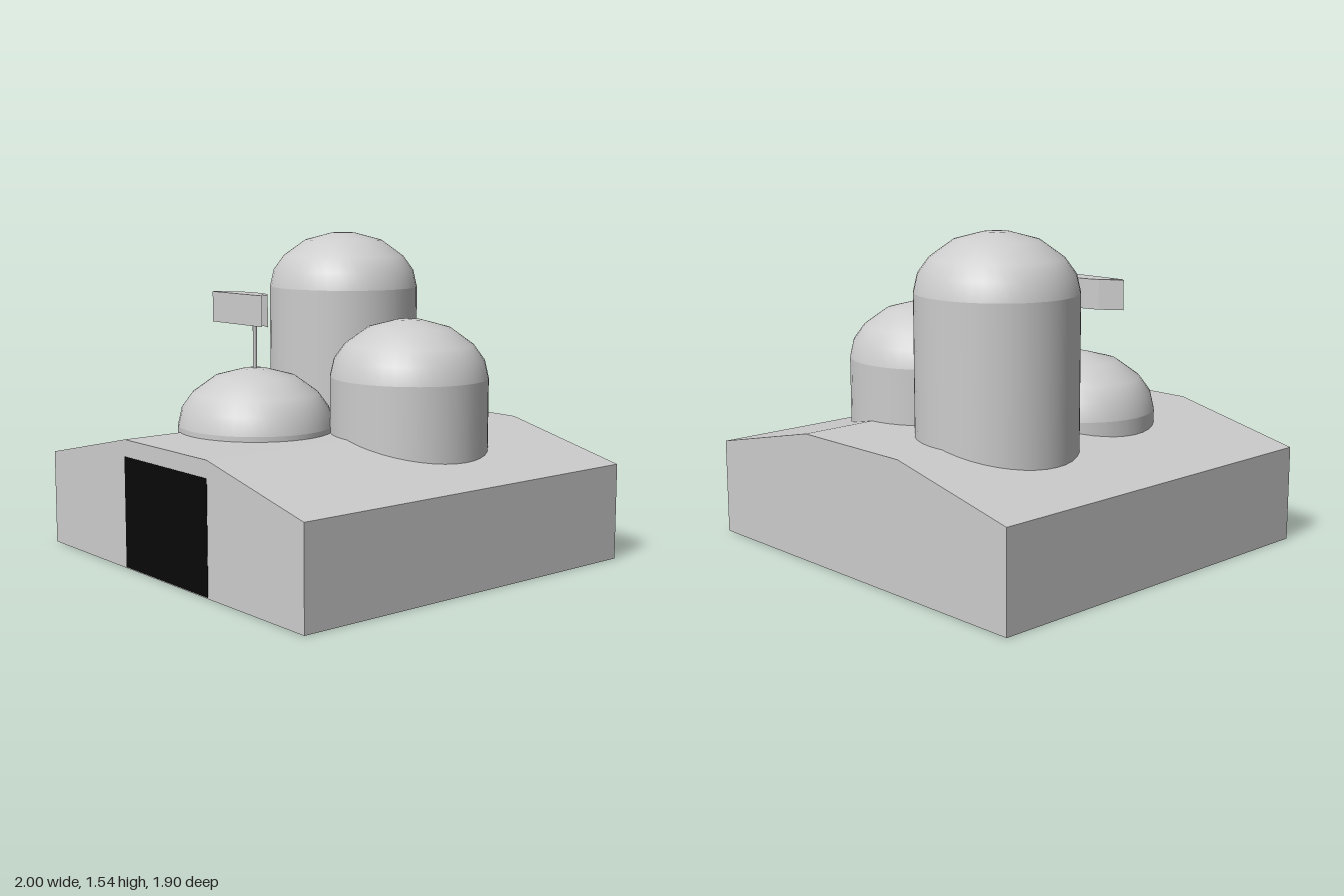
import * as THREE from 'three';

export function createModel() {
  const model = new THREE.Group();
  const grey = new THREE.MeshStandardMaterial({ color: 0xcccccc });
  grey.name = 'pale grey';
  const black = new THREE.MeshStandardMaterial({ color: 0x080808 });
  black.name = 'black';

  function add(name, geometry, material, x = 0, y = 0, z = 0) {
    const mesh = new THREE.Mesh(geometry, material);
    mesh.name = name;
    mesh.position.set(x, y, z);
    model.add(mesh);
    return mesh;
  }
  const shapeOf = (points) => new THREE.Shape(points.map(([x, y]) => new THREE.Vector2(x, y)));

  // Base block with a gently sloping roof
  const baseShape = shapeOf([[-1, 0], [1, 0], [1, 0.46], [0.33, 0.61], [-0.33, 0.61], [-1, 0.46]]);
  add('base', new THREE.ExtrudeGeometry(baseShape, { depth: 1.9, bevelEnabled: false }), grey, 0, 0, -0.95);

  // Doorway panel
  add('doorway', new THREE.BoxGeometry(0.665, 0.525, 0.004), black, 0, 0.2675, 0.95);

  // Domed towers: slightly oval walls with a flattened cap
  const cap = [[0.386, 0], [0.366, 0.085], [0.313, 0.156], [0.2, 0.235], [0.06, 0.271], [0, 0.273]];
  function addTower(name, x, z, top) {
    const floor = 0.3;
    const shoulder = top - 0.273;
    const wall = new THREE.CylinderGeometry(0.386, 0.386, shoulder - floor, 40, 1, true);
    wall.translate(0, (shoulder + floor) / 2, 0);
    const dome = new THREE.LatheGeometry(cap.map(([r, y]) => new THREE.Vector2(r, y + shoulder)), 40);
    for (const [part, geometry] of [['Wall', wall], ['Dome', dome]]) {
      add(name + part, geometry, grey, x, 0, z).scale.z = 0.948;
    }
  }
  addTower('tallTower', -0.295, -0.335, 1.54);
  addTower('middleTower', 0.352, -0.198, 1.15);
  addTower('lowTower', -0.187, 0.305, 0.907);

  // Antenna post
  add('antennaPost', new THREE.CylinderGeometry(0.01, 0.01, 0.35, 8), grey, -0.187, 1.025, 0.306);

  // Curved antenna panel, opening to the front
  const outer = [[-0.218, 0.392], [-0.122, 0.322], [-0.047, 0.301]];
  const inner = [[-0.039, 0.326], [-0.108, 0.343], [-0.198, 0.41]];
  const half = [...outer, ...outer.map(([x, z]) => [-x, z]).reverse(),
    ...inner.map(([x, z]) => [-x, z]), ...inner.slice().reverse()];
  const panel = new THREE.ExtrudeGeometry(shapeOf(half.map(([x, z]) => [x, -z])), { depth: 0.145, bevelEnabled: false });
  panel.rotateX(-Math.PI / 2);
  add('antennaPanel', panel, grey, -0.187, 1.122, 0);

  return model;
}
